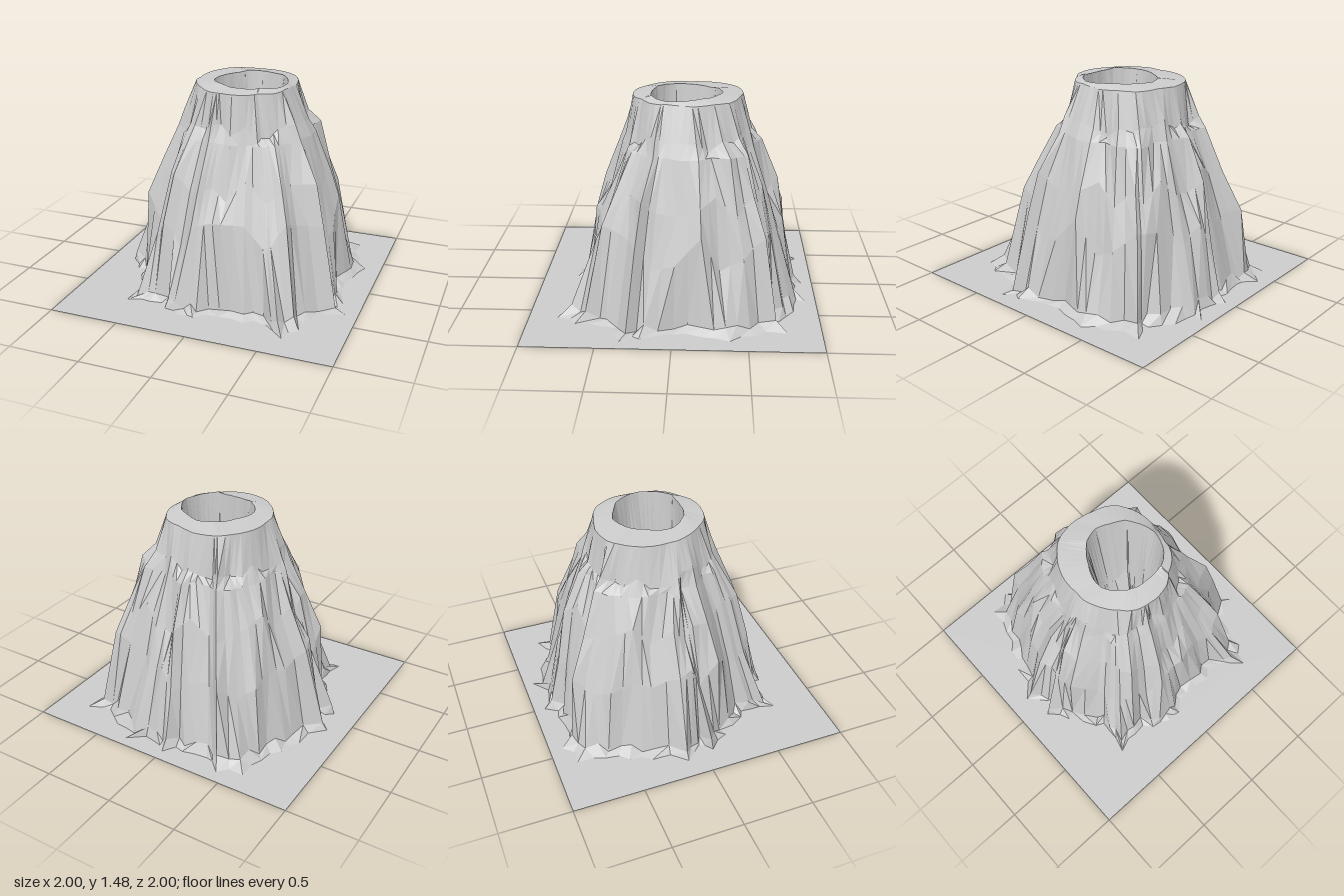
import * as THREE from 'three';

// Foot of the mountain (x, z), counter-clockwise seen from above
const FOOT = [
  [-0.05, 0.75], [0.1, 0.68], [0.3, 0.7], [0.45, 0.67], [0.6, 0.8], [0.68, 0.67], [0.71, 0.5],
  [0.91, 0.35], [0.87, 0.22], [0.8, 0], [0.83, -0.2], [0.88, -0.38], [0.8, -0.55], [0.76, -0.77],
  [0.6, -0.72], [0.45, -0.83], [0.3, -0.93], [0.1, -0.86], [0, -0.92], [-0.12, -0.85], [-0.3, -0.82],
  [-0.43, -0.91], [-0.6, -0.85], [-0.63, -0.65], [-0.7, -0.5], [-0.76, -0.35], [-0.86, -0.12],
  [-0.75, 0], [-0.82, 0.08], [-0.72, 0.22], [-0.6, 0.4], [-0.55, 0.5], [-0.58, 0.68], [-0.42, 0.65],
  [-0.28, 0.7], [-0.15, 0.75],
];

// Radii every 30 degrees, from the front (+z) round to the left (+x)
const RIM = [0.37, 0.36, 0.37, 0.34, 0.38, 0.39, 0.38, 0.4, 0.37, 0.33, 0.34, 0.36];
const MOUTH = [0.22, 0.24, 0.26, 0.27, 0.25, 0.25, 0.27, 0.26, 0.24, 0.26, 0.25, 0.22];

// Rings from foot to crater floor: height, radius (one or a table), centre x and z,
// share of the foot's outline kept, ridge depth, radius jitter, height jitter, columns per facet
const EDGE = [1.455, RIM, 0.03, -0.07, 0, 0.01, 0.01, 0.006, 4];
const SLOPE = [
  [0, 0.83, 0.02, -0.1, 1, 0, 0, 0, 1],
  [0.04, 0.78, 0.02, -0.1, 0.8, 0.03, 0.02, 0.04, 1],
  [0.52, 0.685, 0.02, -0.1, 0.45, 0.06, 0.02, 0.14, 2],
  [0.85, 0.585, 0.03, -0.1, 0.35, 0.06, 0.02, 0.1, 2],
  [1.13, 0.48, 0.035, -0.1, 0.2, 0.06, 0.02, 0.01, 2],
  [1.2, 0.435, 0.03, -0.09, 0.12, 0.04, 0.015, 0.06, 2],
  EDGE,
];
const CRATER = [
  EDGE,
  [1.475, MOUTH, 0.08, -0.04, 0, 0.01, 0.01, 0.008, 4],
  [0.8, 0.19, 0.09, -0.02, 0, 0.02, 0.02, 0.2, 4],
  [0.35, 0.12, 0.1, 0.01, 0, 0.03, 0.03, 0.25, 4],
  [0.2, 0, 0.1, 0.02, 0, 0, 0, 0, 4],
];

// Repeatable value from -1 to 1 for a pair of integers
function noise(i, j) {
  const s = Math.sin(i * 127.1 + j * 311.7 + 4.2) * 43758.5453;
  return 2 * (s - Math.floor(s)) - 1;
}

// Two columns per foot point: the point itself and a slightly inset midpoint
const COLUMNS = FOOT.flatMap(([x, z], i) => {
  const [nx, nz] = FOOT[(i + 1) % FOOT.length];
  const s = 0.97 + 0.03 * noise(i, 90);
  return [[x, z], [((x + nx) / 2) * s, ((z + nz) / 2) * s]];
});

// Noise held at every step-th column and blended between, for broad facets
function facetNoise(column, key, step) {
  const i = Math.floor(column / step), next = ((i + 1) * step % COLUMNS.length) / step;
  return THREE.MathUtils.lerp(noise(i, key), noise(next, key), column / step - i);
}

// Radius in a given direction, blended between the entries of a table
function radiusAt(radius, dx, dz) {
  if (!Array.isArray(radius)) return radius;
  const t = ((Math.atan2(dx, dz) / (2 * Math.PI) + 1) % 1) * radius.length;
  const i = Math.floor(t);
  return THREE.MathUtils.lerp(radius[i], radius[(i + 1) % radius.length], t - i);
}

function ringPoint(column, ring) {
  const [y, radius, cx, cz, keep, ridge, jitter, lift, step] = ring;
  const [fx, fz] = COLUMNS[column];
  const dx = fx - 0.02, dz = fz + 0.1, foot = Math.hypot(dx, dz);
  const key = Math.round(y * 100);
  const r = radiusAt(radius, dx, dz) + keep * (foot - 0.83)
    + ridge * 0.7 * facetNoise(column, 7, step) + jitter * facetNoise(column, key, step);
  return [cx + (dx / foot) * r, Math.max(0, y + lift * facetNoise(column, key + 1, step)), cz + (dz / foot) * r];
}

// Faceted skin between neighbouring rings, with diagonals running both ways
function ringSurface(rings) {
  const positions = [];
  const n = COLUMNS.length;
  for (let r = 0; r < rings.length - 1; r++) {
    for (let i = 0; i < n; i++) {
      const j = (i + 1) % n;
      const a = ringPoint(i, rings[r]), b = ringPoint(j, rings[r]);
      const c = ringPoint(j, rings[r + 1]), d = ringPoint(i, rings[r + 1]);
      if (rings[r + 1][1] === 0) positions.push(...a, ...b, ...c);
      else if (noise(i >> 1, r + 50) > 0) positions.push(...a, ...b, ...c, ...a, ...c, ...d);
      else positions.push(...a, ...b, ...d, ...b, ...c, ...d);
    }
  }
  const geometry = new THREE.BufferGeometry();
  geometry.setAttribute('position', new THREE.Float32BufferAttribute(positions, 3));
  geometry.computeVertexNormals();
  return geometry;
}

// Flat square of ground, open beneath the mountain
function groundGeometry() {
  const square = new THREE.Shape([[-1, -1], [1, -1], [1, 1], [-1, 1]].map(p => new THREE.Vector2(...p)));
  square.holes.push(new THREE.Path(COLUMNS.map(([x, z]) => new THREE.Vector2(x, -z))));
  return new THREE.ShapeGeometry(square).rotateX(-Math.PI / 2);
}

export function createModel() {
  const group = new THREE.Group();
  group.name = 'volcano';
  const rock = new THREE.MeshStandardMaterial({ color: 0xcccccc, flatShading: true, side: THREE.DoubleSide });
  const add = (name, geometry) => {
    const mesh = new THREE.Mesh(geometry, rock);
    mesh.name = name;
    group.add(mesh);
  };
  add('groundPlane', groundGeometry());
  add('mountainSlope', ringSurface(SLOPE));
  add('crater', ringSurface(CRATER));
  return group;
}
